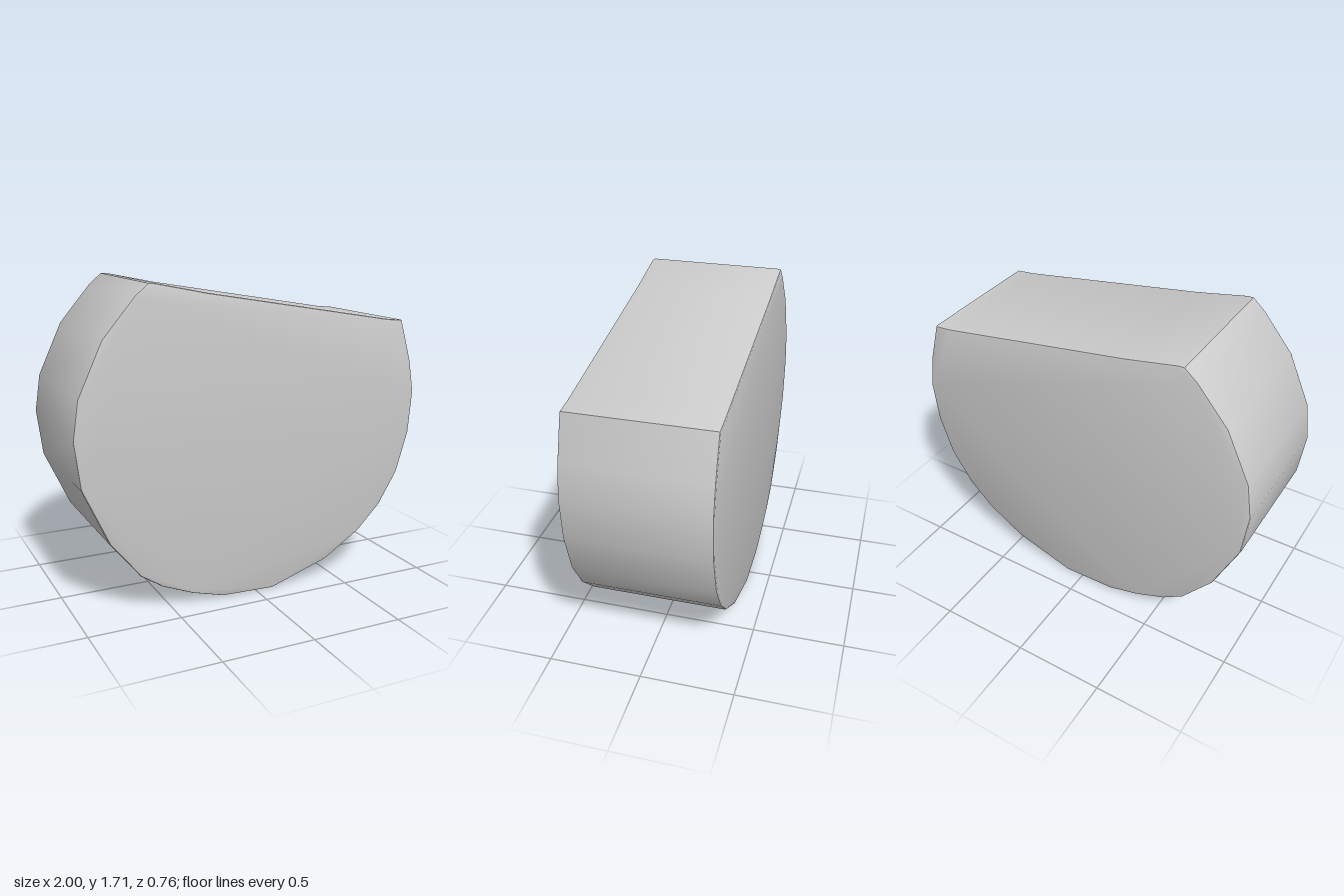
import * as THREE from 'three';
import { toCreasedNormals } from 'three/addons/utils/BufferGeometryUtils.js';

// Outline of the thick disc, with a sloping cut across its top
const outline = [
  [-0.60, 1.71], [-0.57, 1.71], [-0.28, 1.65], [0.80, 1.465], [0.90, 1.455],
  [0.97, 1.22], [1.0, 1.04], [0.98, 0.80], [0.91, 0.57], [0.80, 0.39],
  [0.66, 0.25], [0.44, 0.11], [0.10, 0.0], [-0.20, 0.01], [-0.38, 0.06],
  [-0.55, 0.13], [-0.67, 0.21], [-0.83, 0.41], [-0.97, 0.72], [-1.0, 0.97],
  [-0.97, 1.17], [-0.84, 1.45], [-0.67, 1.65],
];

export function createModel() {
  const group = new THREE.Group();
  group.name = 'cutDisc';

  const halfDepth = 0.38;
  const bevel = 0.012;
  const shape = new THREE.Shape(outline.map(([x, y]) => new THREE.Vector2(x, y)));

  // Body with a fine rounded rim on both faces
  const extruded = new THREE.ExtrudeGeometry(shape, {
    depth: 2 * (halfDepth - bevel),
    bevelEnabled: true,
    bevelThickness: bevel,
    bevelSize: bevel,
    bevelOffset: -bevel,
    bevelSegments: 2,
  });
  extruded.translate(0, 0, bevel - halfDepth);

  const body = new THREE.Mesh(
    toCreasedNormals(extruded, 0.6),
    new THREE.MeshStandardMaterial({ color: 0xcccccc }),
  );
  body.name = 'discBody';
  group.add(body);
  return group;
}
